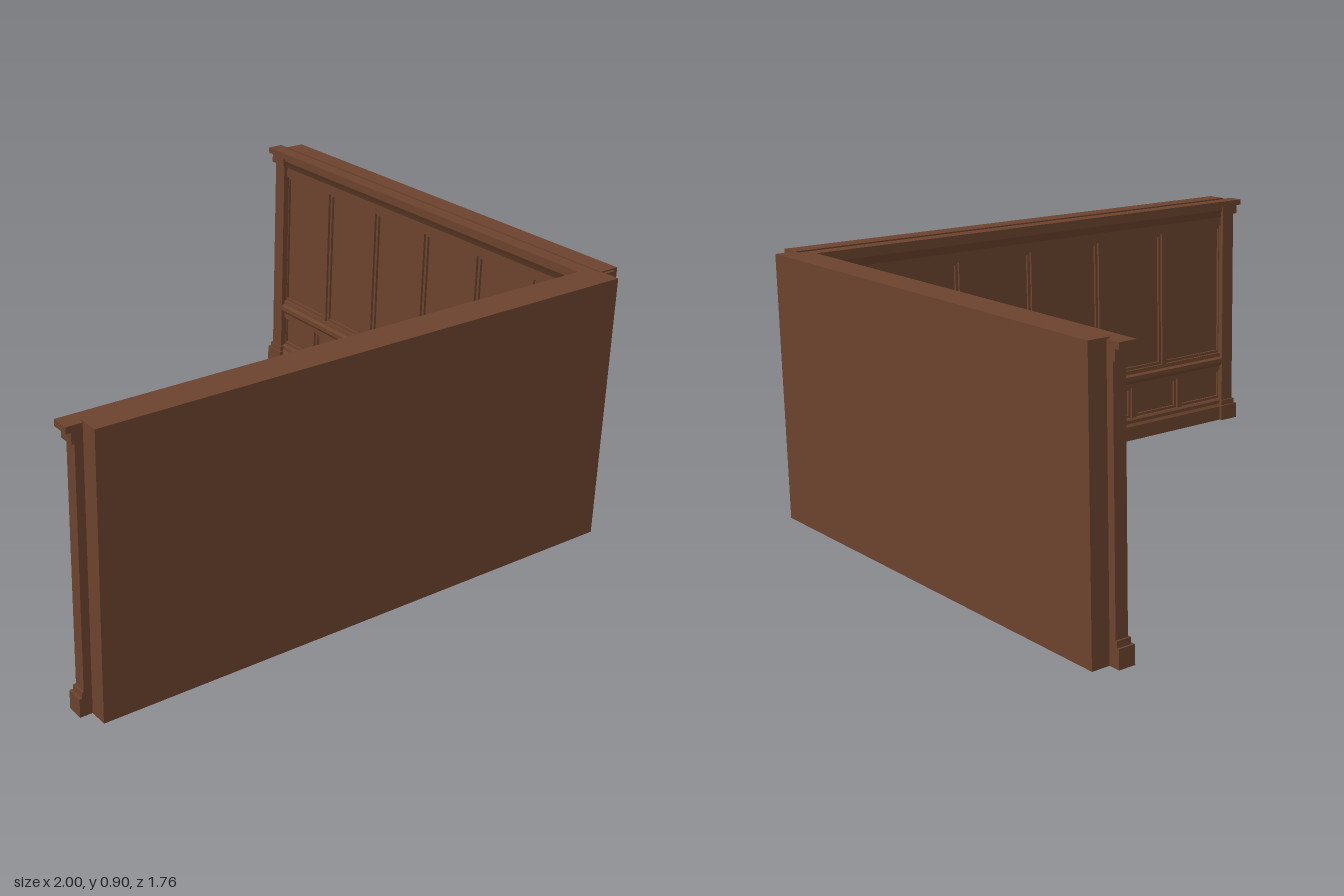
import * as THREE from 'three';

export function createModel() {
  const model = new THREE.Group();
  model.name = 'cornerWainscot';
  const wood = new THREE.MeshStandardMaterial({ color: 0x6b432d });
  wood.name = 'brown wood';

  // Box given by its limits; depths are measured inward (towards -z) from the slab face
  function box(parent, name, x0, x1, y0, y1, d0, d1) {
    const mesh = new THREE.Mesh(new THREE.BoxGeometry(x1 - x0, y1 - y0, d1 - d0), wood);
    mesh.position.set((x0 + x1) / 2, (y0 + y1) / 2, -(d0 + d1) / 2);
    mesh.name = name;
    parent.add(mesh);
  }

  // Moulding: profile of [depth, y] points swept along x
  function moulding(parent, name, points, x0, x1) {
    const shape = new THREE.Shape(points.map(([d, y]) => new THREE.Vector2(d, y)));
    const geo = new THREE.ExtrudeGeometry(shape, { depth: x1 - x0, bevelEnabled: false });
    geo.rotateY(Math.PI / 2);
    const mesh = new THREE.Mesh(geo, wood);
    mesh.position.x = x0;
    mesh.name = name;
    parent.add(mesh);
  }

  // Thin bead frame lining one panel recess
  function panelBead(parent, x0, x1, y0, y1) {
    const t = 0.01;
    const shape = new THREE.Shape([[x0, y0], [x1, y0], [x1, y1], [x0, y1]]
      .map((p) => new THREE.Vector2(...p)));
    shape.holes.push(new THREE.Path([[x0 + t, y0 + t], [x0 + t, y1 - t], [x1 - t, y1 - t], [x1 - t, y0 + t]]
      .map((p) => new THREE.Vector2(...p))));
    const mesh = new THREE.Mesh(new THREE.ExtrudeGeometry(shape, { depth: 0.009, bevelEnabled: false }), wood);
    mesh.position.z = -0.009;
    mesh.name = 'panelBead';
    parent.add(mesh);
  }

  // Row of equal panels separated by upright stiles
  function panelRow(parent, half, count, y0, y1) {
    const step = (2 * half) / count;
    const s = 0.011;
    for (let i = 0; i <= count; i++) {
      const x = -half + i * step;
      box(parent, 'stile', x - s, x + s, y0, y1, 0, 0.018);
      if (i < count) panelBead(parent, x + s, x + step - s, y0, y1);
    }
  }

  function wall(name, length) {
    const g = new THREE.Group();
    g.name = name;
    const h = length / 2;
    box(g, 'backSlab', -h, h, 0, 0.897, -0.07, 0);

    // Panels in two tiers
    panelRow(g, h - 0.01, 8, 0.085, 0.205);
    panelRow(g, h - 0.01, 6, 0.275, 0.79);

    // Horizontal mouldings
    moulding(g, 'baseboard', [[-0.005, 0], [0.032, 0], [0.032, 0.055], [0.024, 0.065],
      [0.024, 0.078], [0.018, 0.085], [-0.005, 0.085]], -h, h);
    moulding(g, 'chairRail', [[-0.005, 0.205], [0.018, 0.205], [0.018, 0.222], [0.026, 0.228],
      [0.032, 0.238], [0.032, 0.254], [0.02, 0.26], [0.018, 0.275], [-0.005, 0.275]], -h, h);
    moulding(g, 'frieze', [[-0.005, 0.79], [0.018, 0.79], [0.018, 0.825], [0.026, 0.84],
      [0.036, 0.856], [0.036, 0.873], [-0.005, 0.873]], -h, h);
    box(g, 'cornice', -h - 0.05, h + 0.05, 0.872, 0.892, -0.01, 0.05);

    // Pilasters wrapping both ends
    for (const side of [-1, 1]) {
      const p = new THREE.Group();
      p.name = side < 0 ? 'startPilaster' : 'endPilaster';
      const part = (n, inner, outer, y0, y1, depth) => {
        const a = side * (h - inner), b = side * (h + outer);
        box(p, n, Math.min(a, b), Math.max(a, b), y0, y1, -0.01, depth);
      };
      part('plinth', 0.04, 0.04, 0, 0.06, 0.045);
      part('plinthCap', 0.034, 0.032, 0.06, 0.08, 0.038);
      part('shaft', 0.028, 0.026, 0.08, 0.84, 0.032);
      part('capital', 0.036, 0.035, 0.838, 0.872, 0.042);
      g.add(p);
    }
    return g;
  }

  const front = wall('frontWall', 1.88);
  front.position.set(-0.01, 0, 0.81);
  const side = wall('sideWall', 1.64);
  side.rotation.y = Math.PI / 2;
  side.position.set(0.93, 0, -0.01);
  model.add(front, side);
  return model;
}
